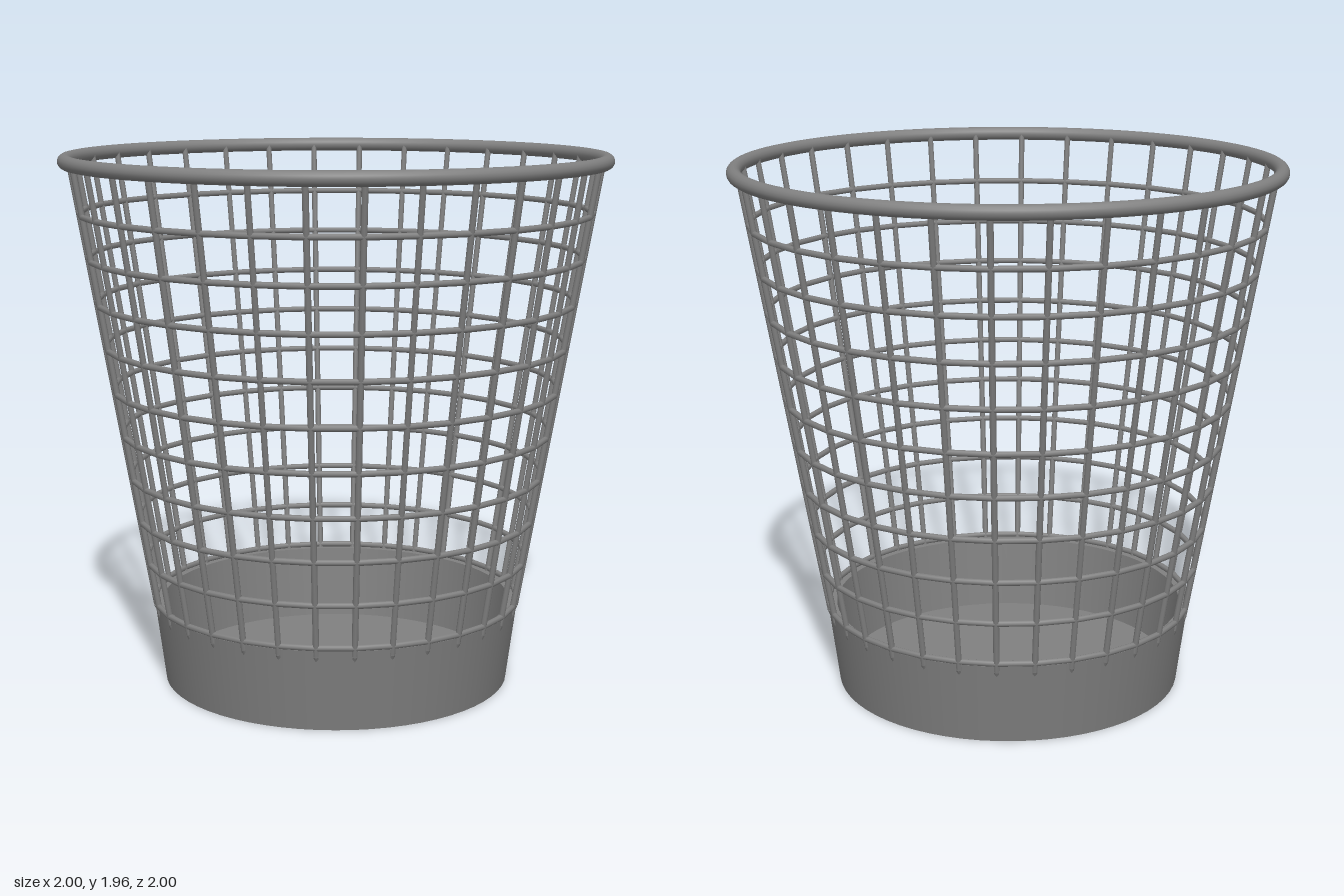
import * as THREE from 'three';

const material = new THREE.MeshStandardMaterial({ color: 0x808080 });
const RIBS = 32, RINGS = 10, WIRE = 0.011;

// Radius of the tapering wire cage at a given height
const cageRadius = (y) => 0.673 + (y - 0.26) * 0.171;

function add(parent, name, geometry) {
  const mesh = new THREE.Mesh(geometry, material);
  mesh.name = name;
  parent.add(mesh);
  return mesh;
}

function addHoop(parent, name, radius, tube, y, sides, segments) {
  const hoop = add(parent, name, new THREE.TorusGeometry(radius, tube, sides, segments));
  hoop.rotation.x = -Math.PI / 2;
  hoop.position.y = y;
}

// Lathe whose straight segments keep sharp edges between them
function addTurned(parent, name, points) {
  const group = new THREE.Group();
  group.name = name;
  for (let i = 0; i < points.length - 1; i++) {
    const pair = [points[i], points[i + 1]].map(([r, y]) => new THREE.Vector2(r, y));
    add(group, name + 'Surface', new THREE.LatheGeometry(pair, 64));
  }
  parent.add(group);
}

// Straight wire between two [radius, height] points
function wire([r0, y0], [r1, y1]) {
  const line = new THREE.LineCurve3(new THREE.Vector3(r0, y0, 0), new THREE.Vector3(r1, y1, 0));
  return new THREE.TubeGeometry(line, 1, WIRE, 8);
}

export function createModel() {
  const basket = new THREE.Group();
  basket.name = 'wireBasket';

  // Solid cup at the bottom: underside, outer wall, lip, inner wall, floor
  addTurned(basket, 'base', [
    [0, 0], [0.645, 0], [0.684, 0.3], [0.65, 0.3], [0.62, 0.025], [0, 0.025],
  ]);

  // Horizontal wire hoops, straight between neighbouring uprights
  const hoops = new THREE.Group();
  hoops.name = 'hoops';
  for (let i = 0; i < RINGS; i++) {
    const y = 0.31 + i * 0.16;
    addHoop(hoops, 'hoop', cageRadius(y), WIRE, y, 8, RIBS);
  }
  basket.add(hoops);

  // Slanted upright wires with short tails that sink into the base wall
  const uprights = new THREE.Group();
  uprights.name = 'uprights';
  const joint = [cageRadius(0.28), 0.28];
  const shaft = wire(joint, [cageRadius(1.945), 1.945]);
  const tail = wire([0.655, 0.235], joint);
  for (let i = 0; i < RIBS; i++) {
    const upright = new THREE.Group();
    upright.name = 'upright';
    add(upright, 'shaft', shaft);
    add(upright, 'tail', tail);
    upright.rotation.y = (i / RIBS) * Math.PI * 2;
    uprights.add(upright);
  }
  basket.add(uprights);

  // Thick rolled rim
  addHoop(basket, 'rim', 0.974, 0.026, 1.937, 16, 96);

  return basket;
}
